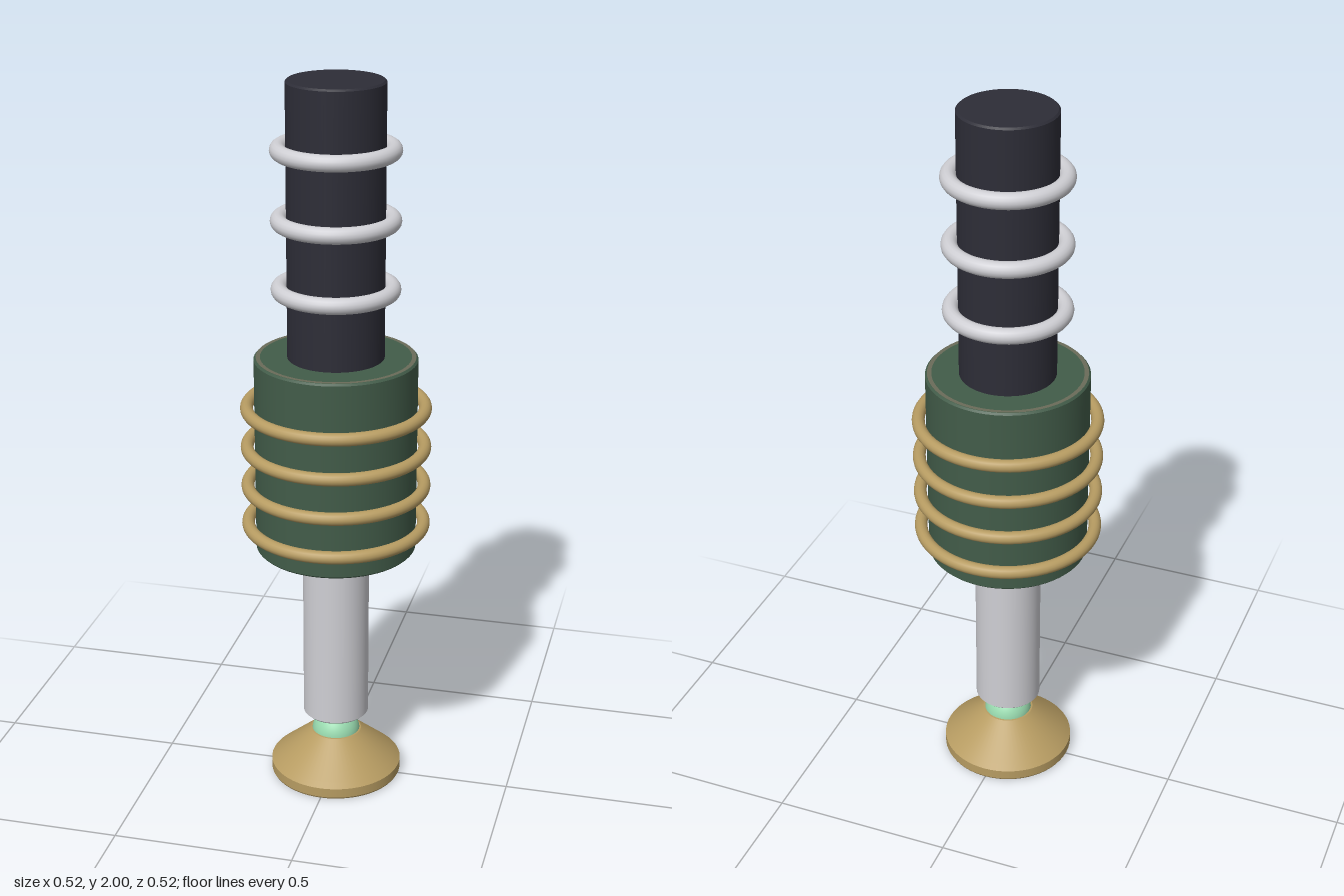
import * as THREE from 'three';

const mat = (name, color) => {
  const m = new THREE.MeshStandardMaterial({ color });
  m.name = name;
  return m;
};

export function createModel() {
  const model = new THREE.Group();
  model.name = 'plungerDevice';

  const charcoal = mat('charcoal', 0x2d2d37);
  const green = mat('darkGreen', 0x425c49);
  const olive = mat('oliveGrey', 0x6a6c59);
  const silver = mat('silver', 0xcfcfd4);
  const brass = mat('brass', 0xb79c62);
  const mint = mat('mint', 0x98d9ae);

  const add = (name, geometry, material, y = 0) => {
    const mesh = new THREE.Mesh(geometry, material);
    mesh.name = name;
    mesh.position.y = y;
    model.add(mesh);
    return mesh;
  };

  // Upright cylinder with a small chamfer at both ends
  const rod = (name, r, y0, y1, material, bevel = 0.005) => {
    const h = y1 - y0;
    add(name, new THREE.CylinderGeometry(r, r, h - 2 * bevel, 64, 1, true), material, (y0 + y1) / 2);
    add(name + 'Top', new THREE.CylinderGeometry(r - bevel, r, bevel, 64), material, y1 - bevel / 2);
    add(name + 'Bottom', new THREE.CylinderGeometry(r, r - bevel, bevel, 64), material, y0 + bevel / 2);
  };

  const ring = (name, r, tube, y, material) => {
    const geometry = new THREE.TorusGeometry(r, tube, 16, 64).rotateX(Math.PI / 2);
    add(name, geometry, material, y);
  };

  // Stacked shafts
  rod('upperShaft', 0.13, 1.255, 2, charcoal);
  rod('body', 0.22, 0.707, 1.26, green);
  rod('lowerShaft', 0.092, 0.187, 0.712, silver);

  // Thin end trims of the body
  add('bodyTopTrim', new THREE.RingGeometry(0.203, 0.2145, 64).rotateX(-Math.PI / 2), olive, 1.261);
  add('bodyBottomTrim', new THREE.RingGeometry(0.09, 0.2145, 64).rotateX(Math.PI / 2), olive, 0.706);

  // Rings around the upper shaft and the body
  for (let i = 0; i < 3; i++) ring('shaftRing', 0.15, 0.022, 1.448 + i * 0.186, silver);
  for (let i = 0; i < 4; i++) ring('bodyRing', 0.241, 0.0175, 0.78 + i * 0.1122, brass);

  // Ball joint
  add('ballJoint', new THREE.SphereGeometry(0.068, 40, 24), mint, 0.12);

  // Hollow foot, each straight section lathed separately for crisp edges
  const profile = [
    [0.055, 0.085], [0.176, 0], [0.182, 0], [0.185, 0.005],
    [0.185, 0.032], [0.17, 0.045], [0.072, 0.128], [0.055, 0.13],
  ].map(([x, y]) => new THREE.Vector2(x, y));
  const foot = new THREE.Group();
  foot.name = 'foot';
  for (let i = 0; i < profile.length - 1; i++) {
    const section = new THREE.Mesh(new THREE.LatheGeometry([profile[i], profile[i + 1]], 64), brass);
    section.name = 'footSection';
    foot.add(section);
  }
  model.add(foot);

  return model;
}
